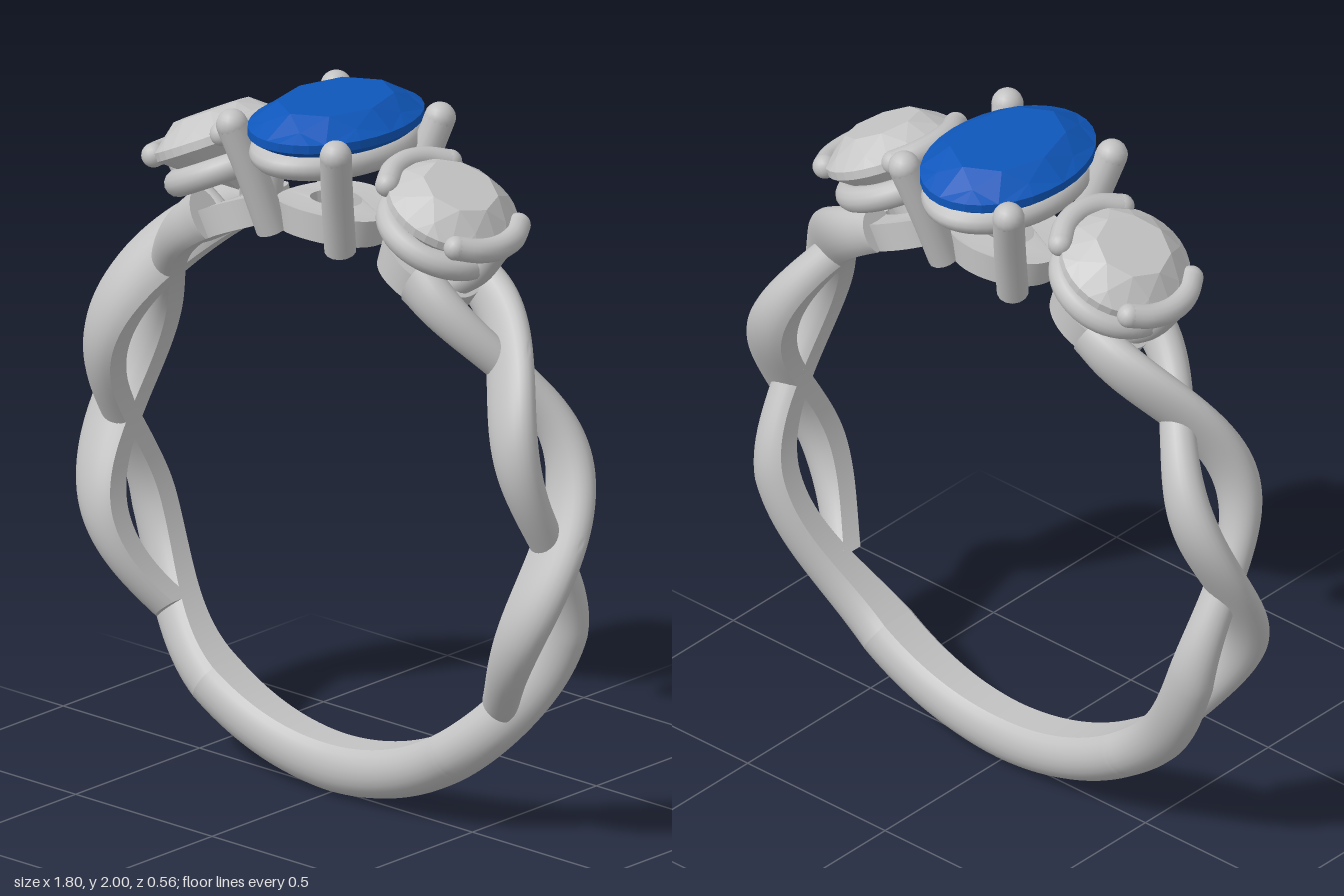
import * as THREE from 'three';
import { toCreasedNormals } from 'three/addons/utils/BufferGeometryUtils.js';

const CY = 0.89, R_IN = 0.74, DEG = Math.PI / 180;

const metal = new THREE.MeshStandardMaterial({ color: 0xc2c2c2 });
metal.name = 'silver metal';
const clear = new THREE.MeshStandardMaterial({ color: 0xc6c6c6 });
clear.name = 'clear stone';
const blue = new THREE.MeshStandardMaterial({ color: 0x0f57bb });
blue.name = 'blue stone';

function add(parent, name, geo, mat, x = 0, y = 0, z = 0) {
  const m = new THREE.Mesh(geo, mat);
  m.name = name;
  m.position.set(x, y, z);
  parent.add(m);
  return m;
}

// Sweep a rounded section, flat on the finger side, around the ring.
// shape(angle in degrees) gives [z centre, half width, outer radius].
function sweep(a0, a1, steps, shape) {
  const pos = [], idx = [], M = 20;
  for (let i = 0; i <= steps; i++) {
    const deg = a0 + (a1 - a0) * i / steps, a = deg * DEG;
    const [zc, w, rOut] = shape(deg);
    const H = rOut - R_IN;
    for (let j = 0; j < M; j++) {
      const p = (-52 + 284 * j / (M - 1)) * DEG;
      const r = R_IN + H * (0.441 + 0.559 * Math.sin(p));
      pos.push(r * Math.cos(a), CY + r * Math.sin(a), zc + w * Math.cos(p));
    }
  }
  for (let i = 0; i < steps; i++) {
    for (let j = 0; j < M; j++) {
      const k = (j + 1) % M, a = i * M + j, b = i * M + k;
      idx.push(a, b, b + M, a, b + M, a + M);
    }
  }
  const e = steps * M;
  for (let j = 1; j < M - 1; j++) idx.push(0, j + 1, j, e, e + j, e + j + 1);
  const g = new THREE.BufferGeometry();
  g.setAttribute('position', new THREE.Float32BufferAttribute(pos, 3));
  g.setIndex(idx);
  return toCreasedNormals(g, 40 * DEG);
}

// Flat oval ring bent to follow the finger opening
function bentRing(centreDeg, ru, rv, hu, hv) {
  const s = new THREE.Shape().absellipse(0, 0, ru, rv, 0, Math.PI * 2);
  s.holes.push(new THREE.Path().absellipse(0, 0, hu, hv, 0, Math.PI * 2, true));
  const g = new THREE.ExtrudeGeometry(s, { depth: 0.08, bevelEnabled: false, curveSegments: 32 });
  const p = g.attributes.position;
  for (let i = 0; i < p.count; i++) {
    const a = centreDeg * DEG - p.getX(i) / 0.78, r = R_IN + p.getZ(i);
    p.setXYZ(i, r * Math.cos(a), CY + r * Math.sin(a), -p.getY(i));
  }
  return toCreasedNormals(g, 40 * DEG);
}

// Brilliant-cut stone with its girdle around y = 0
function gem(rx, rz, crown, pavilion, table) {
  const pos = [], N = 32, band = 0.012;
  const P = (deg, r, y) => [rx * r * Math.cos(deg * DEG), y, rz * r * Math.sin(deg * DEG)];
  const tri = (a, b, c) => pos.push(...a, ...c, ...b);
  const half = (sign, topR, topY, midR, midY) => {
    const f = sign > 0 ? tri : (a, b, c) => tri(a, c, b);
    const T = k => P(k * 45, topR, topY), M = k => P((k + 0.5) * 45, midR, midY);
    const G = j => P(j * 360 / N, 1, sign * band);
    for (let k = 0; k < 8; k++) {
      if (topR > 0) {
        f([0, topY, 0], T(k), T(k + 1));
        f(T(k), M(k), T(k + 1));
      }
      f(T(k), M(k - 1), G(4 * k));
      f(T(k), G(4 * k), M(k));
      for (let j = 0; j < 4; j++) f(M(k), G(4 * k + j), G(4 * k + j + 1));
    }
  };
  half(1, table, crown, 0.84, crown * 0.52);
  half(-1, 0, -pavilion, 0.5, -pavilion * 0.58);
  for (let j = 0; j < N; j++) {
    const a = j * 360 / N, b = (j + 1) * 360 / N;
    tri(P(a, 1, band), P(a, 1, -band), P(b, 1, -band));
    tri(P(a, 1, band), P(b, 1, -band), P(b, 1, band));
  }
  const g = new THREE.BufferGeometry();
  g.setAttribute('position', new THREE.Float32BufferAttribute(pos, 3));
  g.computeVertexNormals();
  return g;
}

// Round bar through points, with a ball at each end that is asked for
function bar(parent, name, pts, r, balls) {
  const v = pts.map(p => new THREE.Vector3(...p));
  const curve = new THREE.CatmullRomCurve3(v);
  add(parent, name, new THREE.TubeGeometry(curve, 20, r, 14), metal);
  [v[0], v[v.length - 1]].forEach((e, i) => {
    if (balls[i]) {
      add(parent, name + 'Tip', new THREE.SphereGeometry(r, 16, 12), metal, e.x, e.y, e.z);
    } else {
      const t = curve.getTangent(i).multiplyScalar(i ? 1 : -1);
      const cap = add(parent, name + 'End', new THREE.CircleGeometry(r, 14), metal, e.x, e.y, e.z);
      cap.quaternion.setFromUnitVectors(new THREE.Vector3(0, 0, 1), t);
    }
  });
}

// Horizontal oval seat under a stone
function seat(rx, rz, tube) {
  const g = new THREE.TorusGeometry(1, tube / rx, 14, 48);
  g.rotateX(Math.PI / 2);
  g.scale(rx, rx, rz);
  return g;
}

function sideSetting() {
  const s = new THREE.Group();
  add(s, 'sideStone', gem(0.18, 0.19, 0.075, 0.155, 0.58), clear);
  add(s, 'sideSeat', seat(0.15, 0.15, 0.038), metal, 0, -0.085, 0);
  for (const side of [1, -1]) {
    const arc = [-42, -21, 0, 21, 42].map(d =>
      [side * 0.188 * Math.cos(d * DEG), 0.008, 0.188 * Math.sin(d * DEG)]);
    bar(s, 'sideClip', arc, 0.034, [true, true]);
    bar(s, 'sidePost', [[side * 0.185, 0, 0], [side * 0.16, -0.1, 0], [side * 0.11, -0.19, 0]], 0.036, [true, false]);
  }
  return s;
}

export function createModel() {
  const ring = new THREE.Group();
  ring.name = 'ring';

  // Lower band
  add(ring, 'lowerBand', sweep(-123, -57, 48, d => {
    const t = Math.abs(d + 90) / 33;
    return [0, 0.075 + 0.01 * t, 0.89 - 0.01 * t];
  }), metal);

  // Two woven strands on each side
  const wave = d => 4.7 * d * DEG;
  const strandA = d => [
    d < -19 ? 0.097 * Math.cos((d + 19) / 21 * Math.PI / 2) : -0.097 * Math.sin(wave(Math.min(d, 58))),
    0.053, 0.868 + 0.032 * Math.cos(wave(d))];
  const strandB = d => {
    const t = Math.max(0, (-19 - d) / 38);
    return [
      t > 0 ? -0.0485 * (1 + Math.cos(t * Math.PI)) : 0.097 * Math.sin(wave(Math.min(d, 58))),
      0.053 + 0.032 * t * t, t > 0 ? 0.868 + 0.012 * t : 0.868 - 0.032 * Math.cos(wave(d))];
  };
  for (const [name, from, fn] of [['overStrand', -40, strandA], ['underStrand', -57, strandB]]) {
    add(ring, name + 'Left', sweep(from, 61, 72, fn), metal);
    add(ring, name + 'Right', sweep(119, 180 - from, 72, d => fn(180 - d)), metal);
  }

  // Pierced rail beneath the stones
  add(ring, 'centreBase', bentRing(90, 0.17, 0.14, 0.075, 0.06), metal);
  for (const a of [64, 116]) add(ring, 'sideBase', bentRing(a, 0.15, 0.125, 0.075, 0.06), metal);

  // Side stones in their settings
  const left = sideSetting(), right = sideSetting();
  left.name = 'leftSetting';
  left.position.set(0.425, 1.785, 0);
  left.rotation.z = -26 * DEG;
  right.name = 'rightSetting';
  right.position.set(-0.425, 1.785, 0);
  right.rotation.z = 26 * DEG;
  ring.add(left, right);

  // Centre stone, seat and four posts
  add(ring, 'centreStone', gem(0.202, 0.28, 0.065, 0.175, 0.66), blue, 0, 1.935, 0);
  add(ring, 'centreSeat', seat(0.155, 0.22, 0.041), metal, 0, 1.87, 0);
  for (const sx of [1, -1]) {
    for (const sz of [1, -1]) {
      bar(ring, 'centrePost',
        [[sx * 0.125, 1.62, sz * 0.12], [sx * 0.155, 1.78, sz * 0.165], [sx * 0.19, 1.93, sz * 0.21]],
        0.044, [false, true]);
    }
  }
  return ring;
}
